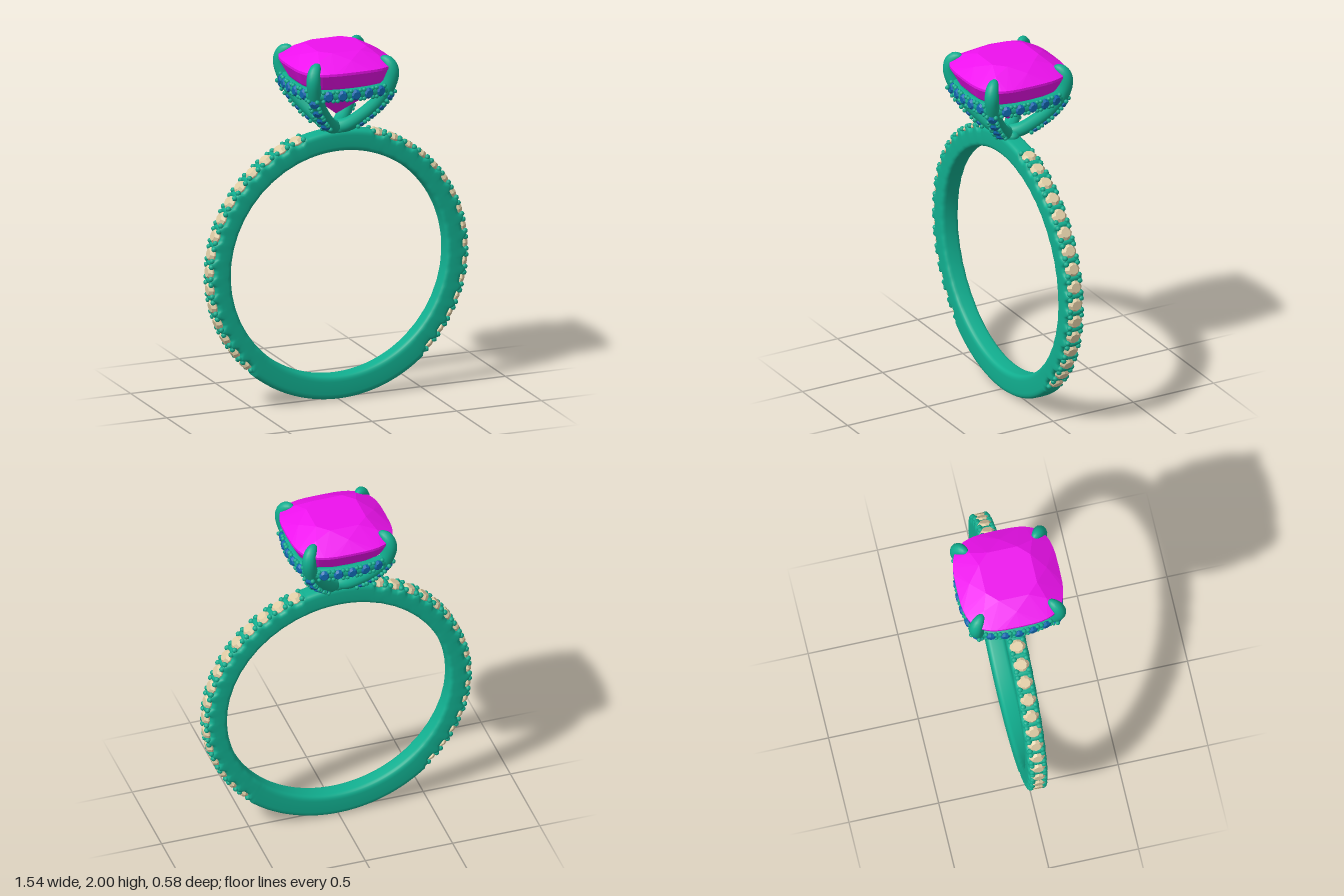
import * as THREE from 'three';
import { mergeGeometries } from 'three/addons/utils/BufferGeometryUtils.js';
import { ConvexGeometry } from 'three/addons/geometries/ConvexGeometry.js';

const V = (x, y, z) => new THREE.Vector3(x, y, z);
const rad = THREE.MathUtils.degToRad;
const spow = (v, p) => Math.sign(v) * Math.abs(v) ** p;

const metal = new THREE.MeshStandardMaterial({ color: 0x11ae8f });
const faceted = (color) => new THREE.MeshStandardMaterial({ color, flatShading: true });
const magenta = faceted(0xee11ee), cream = faceted(0xe0cda6), blue = faceted(0x1068b0);

const CY = 0.77;            // centre height of the band
const INNER = 0.635;
const PITCH = 7.7;          // degrees between band stones
const FIRST = -44, COUNT = 16;

// Unit round-cut stone and unit bead, placed by a frame (along, normal, across)
const stoneUnit = new THREE.LatheGeometry(
  [[0, -0.9], [0.99, -0.05], [1, 0.08], [0.62, 0.5], [0, 0.5]].map(([x, y]) => new THREE.Vector2(x, y)), 8);
const beadUnit = new THREE.SphereGeometry(1, 8, 6);

function place(unit, pos, along, normal, size) {
  const across = along.clone().cross(normal);
  const m = new THREE.Matrix4().makeBasis(along, normal, across).setPosition(pos);
  return unit.clone().applyMatrix4(m.scale(V(size, size, size)));
}

// One stone with a bead at each of its four corners
function setStone(stones, beads, pos, along, normal, size, du, dv, beadSize, lift) {
  stones.push(place(stoneUnit, pos, along, normal, size));
  const across = along.clone().cross(normal);
  for (const u of [-du, du]) for (const v of [-dv, dv]) {
    const p = pos.clone().addScaledVector(along, u).addScaledVector(across, v).addScaledVector(normal, lift);
    beads.push(place(beadUnit, p, along, normal, beadSize));
  }
}

// Outer radius of the band: plain at the base, scalloped beside each stone
function outerRadius(deg) {
  const a = deg <= 90 ? deg : 180 - deg;
  if (a < FIRST - 5) return 0.77;
  const k = (a - FIRST) / PITCH;
  if (k > COUNT - 0.5) return 0.755;
  const f = Math.abs(k - Math.round(k)) * 2;
  return 0.735 + 0.024 * THREE.MathUtils.smoothstep(f, 0.4, 0.85);
}

function bandGeometry() {
  const n = 400, m = 28, pos = [], index = [];
  for (let i = 0; i < n; i++) {
    const deg = -90 + (i * 360) / n, t = rad(deg), R = outerRadius(deg);
    for (let j = 0; j < m; j++) {
      const s = (j / m) * Math.PI * 2;
      const r = (INNER + R) / 2 + ((R - INNER) / 2) * spow(Math.cos(s), 0.45);
      pos.push(r * Math.cos(t), CY + r * Math.sin(t), 0.055 * spow(Math.sin(s), 0.45));
      const i2 = (i + 1) % n, j2 = (j + 1) % m;
      const a = i * m + j, b = i2 * m + j, c = i2 * m + j2, d = i * m + j2;
      index.push(a, b, d, b, c, d);
    }
  }
  const g = new THREE.BufferGeometry();
  g.setAttribute('position', new THREE.Float32BufferAttribute(pos, 3));
  g.setIndex(index);
  g.computeVertexNormals();
  return g;
}

// Cushion-cut centre stone: hull of rings that share one squarish outline
function cushionGeometry() {
  const pts = [V(0, 1.61, 0)];
  const ring = (half, y, n, turn = 0) => {
    for (let i = 0; i < n; i++) {
      const a = ((i + turn) / n) * Math.PI * 2;
      pts.push(V(half * spow(Math.cos(a), 0.61), y, half * spow(Math.sin(a), 0.61)));
    }
  };
  ring(0.15, 2.0, 8, 0.5);
  ring(0.215, 1.97, 8);
  ring(0.285, 1.922, 48);
  ring(0.285, 1.908, 48);
  ring(0.245, 1.83, 16, 0.5);
  ring(0.15, 1.725, 16);
  return new ConvexGeometry(pts);
}

// Curved claw along a diagonal, tapering to a rounded tip over the stone
const clawCurve = new THREE.CatmullRomCurve3(
  [[0, 1.535], [0.065, 1.555], [0.15, 1.615], [0.245, 1.705], [0.303, 1.79], [0.328, 1.88], [0.308, 1.935], [0.255, 1.957]]
    .map(([d, y]) => V(d * Math.SQRT1_2, y, d * Math.SQRT1_2)));

function clawGeometry() {
  const n = 48, m = 14, g = new THREE.TubeGeometry(clawCurve, n, 0.039, m);
  const p = g.attributes.position, v = V(0, 0, 0);
  for (let i = 0; i <= n; i++) {
    const u = i / n, c = clawCurve.getPointAt(u);
    const k = u < 0.8 ? 1 : Math.sqrt(Math.max(0, 1 - ((u - 0.8) / 0.2) ** 2));
    for (let j = 0; j <= m; j++) {
      const id = i * (m + 1) + j;
      v.fromBufferAttribute(p, id).sub(c).multiplyScalar(k).add(c);
      p.setXYZ(id, v.x, v.y, v.z);
    }
  }
  g.computeVertexNormals();
  return g;
}

export function createModel() {
  const model = new THREE.Group();
  const add = (parent, name, geometry, material) => {
    const mesh = new THREE.Mesh(geometry, material);
    mesh.name = name;
    parent.add(mesh);
    return mesh;
  };

  add(model, 'band', bandGeometry(), metal);
  add(model, 'centreStone', cushionGeometry(), magenta);

  // Rows of stones up both shoulders of the band
  const bandStones = [], bandBeads = [];
  for (let i = 0; i < COUNT; i++) for (const side of [0, 1]) {
    const deg = FIRST + i * PITCH, t = rad(side ? 180 - deg : deg);
    const normal = V(Math.cos(t), Math.sin(t), 0), along = V(-Math.sin(t), Math.cos(t), 0);
    const pos = normal.clone().multiplyScalar(0.744).add(V(0, CY, 0));
    setStone(bandStones, bandBeads, pos, along, normal, 0.045, 0.034, 0.034, 0.0155, 0.008);
  }
  add(model, 'bandStones', mergeGeometries(bandStones), cream);
  add(model, 'bandBeads', mergeGeometries(bandBeads), metal);

  // Small collar where the claws meet the band
  const collar = add(model, 'collar', new THREE.SphereGeometry(1, 20, 12), metal);
  collar.scale.set(0.085, 0.04, 0.055);
  collar.position.y = 1.528;

  // One quarter of the head: claw, its stones, and the gallery rail beside it
  const claw = clawGeometry();
  const clawStones = [], clawBeads = [];
  for (const u of [0.25, 0.37, 0.49, 0.61]) {
    const along = clawCurve.getTangentAt(u);
    const normal = along.clone().cross(V(Math.SQRT1_2, 0, -Math.SQRT1_2)).normalize();
    if (normal.x < 0) normal.negate();
    const pos = clawCurve.getPointAt(u).addScaledVector(normal, 0.034);
    setStone(clawStones, clawBeads, pos, along, normal, 0.03, 0.026, 0.025, 0.0125, 0.004);
  }

  const RY = 1.79;
  const railZ = (x) => 0.25 - 0.8 * x * x;
  const railCurve = new THREE.CatmullRomCurve3(
    [-0.215, -0.11, 0, 0.11, 0.215].map((x) => V(x, RY, railZ(x))));
  const rail = new THREE.TubeGeometry(railCurve, 24, 0.033, 12);
  const railStones = [], railBeads = [];
  for (let i = -2; i <= 2; i++) {
    const x = i * 0.074;
    const along = V(1, 0, -1.6 * x).normalize();
    const normal = V(-along.z, 0, along.x);
    const pos = V(x, RY, railZ(x)).addScaledVector(normal, 0.024);
    setStone(railStones, railBeads, pos, along, normal, 0.032, 0.027, 0.025, 0.0125, 0.001);
  }

  const parts = [
    ['claw', claw, metal],
    ['clawStones', mergeGeometries(clawStones), blue],
    ['clawBeads', mergeGeometries(clawBeads), metal],
    ['galleryRail', rail, metal],
    ['railStones', mergeGeometries(railStones), blue],
    ['railBeads', mergeGeometries(railBeads), metal],
  ];
  for (let q = 0; q < 4; q++) {
    const quarter = new THREE.Group();
    quarter.name = 'headQuarter';
    quarter.rotation.y = (q * Math.PI) / 2;
    for (const [name, geometry, material] of parts) add(quarter, name, geometry, material);
    model.add(quarter);
  }
  return model;
}
